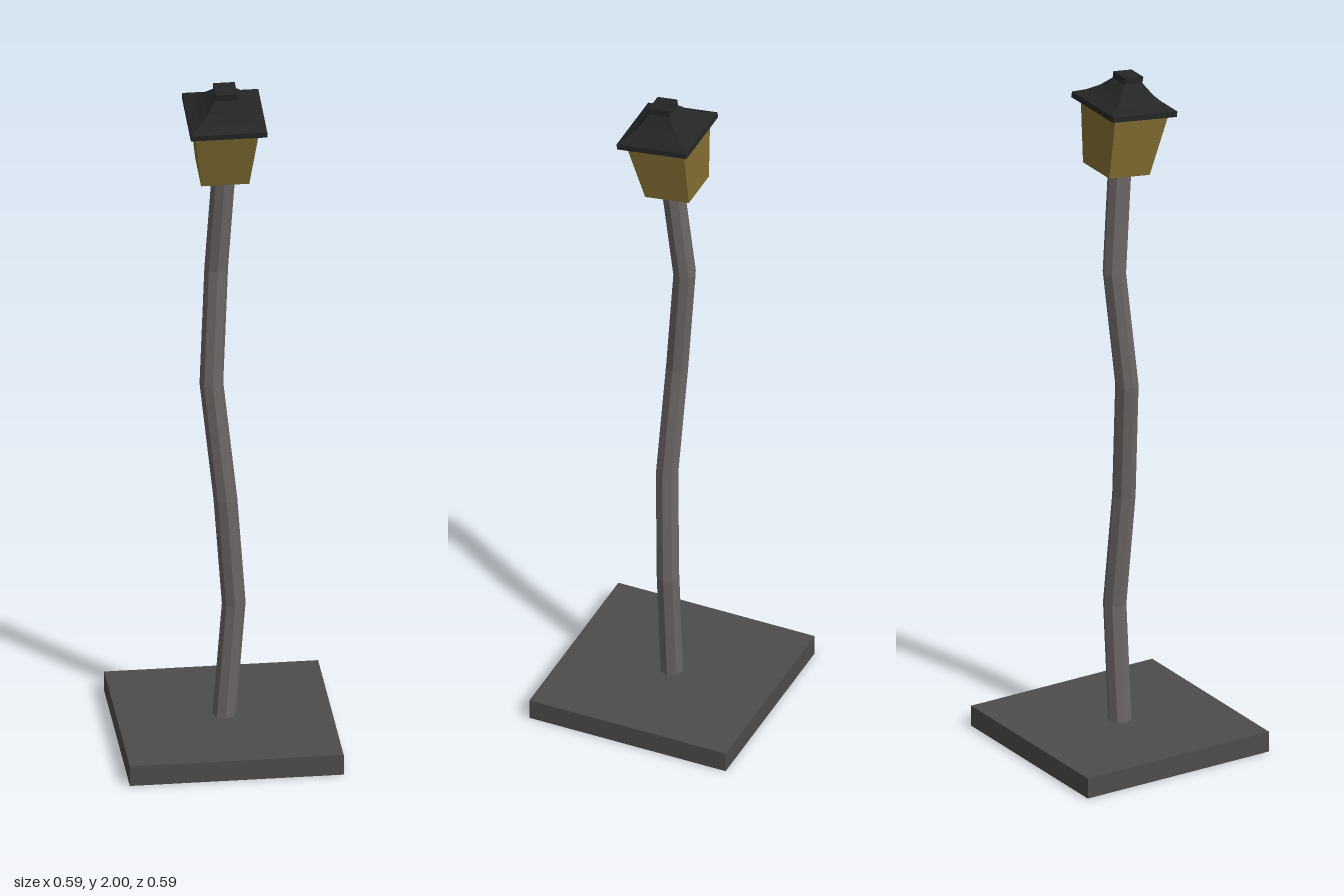
import * as THREE from 'three';

const mat = (name, color, side = THREE.FrontSide) => {
  const m = new THREE.MeshStandardMaterial({ color, flatShading: true, side });
  m.name = name;
  return m;
};

// Square turned shape: each point is [half width, height], listed bottom to top
function squareLathe(profile) {
  const points = profile.map(([w, y]) => new THREE.Vector2(w * Math.SQRT2, y));
  return new THREE.LatheGeometry(points, 4, Math.PI / 4);
}

export function createModel() {
  const model = new THREE.Group();
  model.name = 'streetLamp';

  const stone = mat('basePlateGrey', 0x4c4c4c, THREE.DoubleSide);
  const metal = mat('poleGrey', 0x6c6666);
  const iron = mat('lanternBlack', 0x242525);
  const glass = mat('glassAmber', 0x826e32);

  const add = (parent, name, geometry, material) => {
    const mesh = new THREE.Mesh(geometry, material);
    mesh.name = name;
    parent.add(mesh);
    return mesh;
  };

  // Base: a shallow box that is open underneath
  const box = new THREE.BoxGeometry(0.594, 0.06, 0.594);
  const faces = Array.from(box.index.array);
  faces.splice(18, 6);
  box.setIndex(faces);
  box.clearGroups();
  add(model, 'base', box, stone).position.y = 0.03;

  // Crooked pole: the rings of a cylinder moved onto bend points
  const bends = [
    [0, 0.05, 0], [0.027, 0.4, 0], [0.002, 0.73, 0.014],
    [-0.035, 1.08, 0], [-0.018, 1.42, -0.03], [0, 1.74, 0],
  ];
  const last = bends.length - 1;
  const pole = new THREE.CylinderGeometry(0.033, 0.033, 1, 8, last);
  const p = pole.attributes.position;
  for (let i = 0; i < p.count; i++) {
    const [x, y, z] = bends[Math.round((p.getY(i) + 0.5) * last)];
    p.setXYZ(i, p.getX(i) + x, y, p.getZ(i) + z);
  }
  add(model, 'pole', pole, metal);

  // Lantern head, nodding forward
  const lantern = new THREE.Group();
  lantern.name = 'lantern';
  lantern.position.set(0, 1.9, 0.013);
  lantern.rotation.x = 0.15;
  model.add(lantern);

  const panes = add(lantern, 'glassPanes', squareLathe([[0.067, -0.18], [0.088, 0]]), glass);
  panes.position.x = -0.003;
  const floor = add(lantern, 'lanternFloor', squareLathe([[0, -0.18], [0.067, -0.18]]), iron);
  floor.position.x = -0.003;

  // Flared roof with eave, concave slope and square cap
  add(lantern, 'roof', squareLathe([
    [0, 0], [0.106, 0], [0.106, 0.016], [0.078, 0.031], [0.054, 0.05],
    [0.032, 0.076], [0.03, 0.078], [0.03, 0.097], [0, 0.097],
  ]), iron);

  return model;
}
